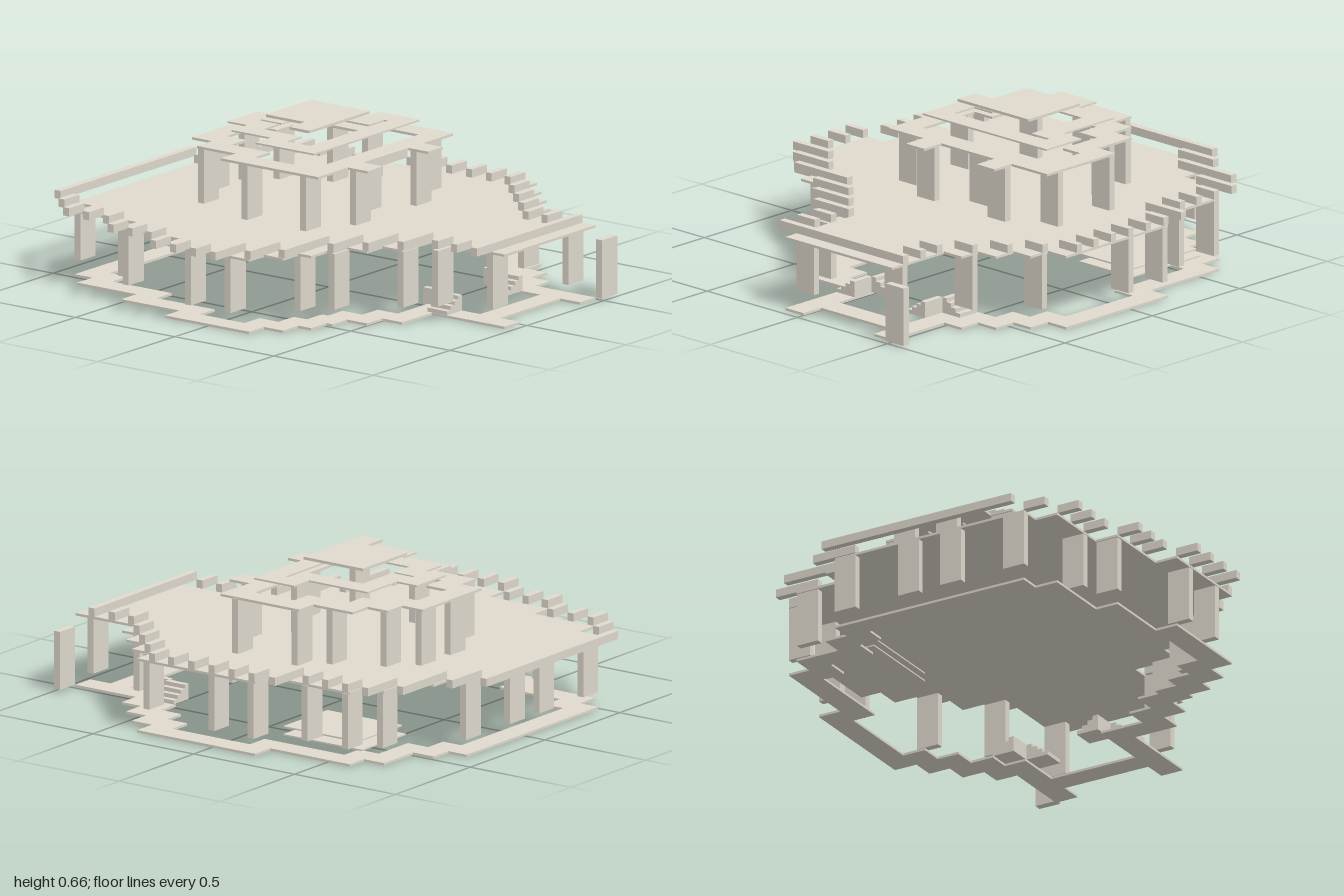
import * as THREE from 'three';

const C = 0.098; // grid cell
const T = 0.03;  // thickness of columns and beams
const mat = new THREE.MeshStandardMaterial({ color: 0xdfd9cd, flatShading: true });

// Outlines as [x, z] corners, running from the back left to the right
const floorLine = [
  [-0.49, -0.9], [0.39, -0.9], [0.39, -0.81], [0.49, -0.81], [0.49, -0.71], [0.685, -0.71],
  [0.685, -0.61], [0.78, -0.61], [0.78, -0.215], [0.88, -0.215], [0.88, 0.37], [0.78, 0.37],
  [0.78, 0.47], [0.685, 0.47], [0.685, 0.57], [0.585, 0.57], [0.585, 0.665], [0.49, 0.665],
  [0.49, 0.965], [-0.1, 0.965], [-0.1, 0.6], [-0.295, 0.6], [-0.295, 0.5], [-0.395, 0.5],
  [-0.395, 0.4], [-0.49, 0.4], [-0.49, 0.37], [-0.59, 0.37], [-0.59, 0.305], [-0.69, 0.305],
  [-0.69, 0.21], [-0.787, 0.21], [-0.787, -0.215], [-0.69, -0.215], [-0.69, -0.51],
  [-0.59, -0.51], [-0.59, -0.81], [-0.49, -0.81],
];
const tier1Line = [
  [-0.1, -0.61], [0.293, -0.61], [0.293, -0.51], [0.39, -0.51], [0.39, -0.41], [0.49, -0.41],
  [0.49, -0.215], [0.585, -0.215], [0.585, 0.175], [0.39, 0.175], [0.39, 0.275], [0.293, 0.275],
  [0.293, 0.175], [0, 0.175], [0, 0.275], [-0.1, 0.275], [-0.1, 0.175], [-0.295, 0.175],
  [-0.295, -0.315], [-0.198, -0.315], [-0.198, -0.51], [-0.1, -0.51],
];
const tier2Line = [
  [0, -0.51], [0.195, -0.51], [0.195, -0.41], [0.39, -0.41], [0.39, -0.12], [0.49, -0.12],
  [0.49, 0.08], [-0.198, 0.08], [-0.198, -0.215], [-0.1, -0.215], [-0.1, -0.41], [0, -0.41],
];
const tier3Line = [
  [0, -0.315], [0.293, -0.315], [0.293, -0.02], [-0.1, -0.02], [-0.1, -0.12], [0, -0.12],
];

// Ground ring: two prongs at the front, and a hole one cell in from the edge
const frontCorner = floorLine.findIndex(([, z]) => z > 0.9);
const groundLine = [
  ...floorLine.slice(0, frontCorner + 1),
  [0.39, 0.965], [0.39, 0.865], [0, 0.865], [0, 0.965],
  ...floorLine.slice(frontCorner + 1),
];
const groundHole = inset(floorLine.map(([x, z]) => [x, Math.min(z, 0.865)]), 0.1);
// The lowest roof's hole ignores the two tabs on its front edge
const tier1Hole = inset(tier1Line.filter(([x, z]) => z < 0.17 || x < -0.2 || x > 0.5), 0.098);

// Move every edge of a right-angled outline inwards
function inset(line, d) {
  const n = line.length;
  return line.map(([x, z], i) => {
    const [px, pz] = line[(i + n - 1) % n];
    const [nx, nz] = line[(i + 1) % n];
    return [
      x - d * (Math.sign(z - pz) + Math.sign(nz - z)),
      z + d * (Math.sign(x - px) + Math.sign(nx - x)),
    ];
  });
}

export function createModel() {
  const model = new THREE.Group();

  function add(name, geometry, parent = model) {
    const mesh = new THREE.Mesh(geometry, mat);
    mesh.name = name;
    parent.add(mesh);
    return mesh;
  }
  function group(name) {
    const g = new THREE.Group();
    g.name = name;
    model.add(g);
    return g;
  }
  function box(name, x0, x1, y0, y1, z0, z1, parent) {
    const geo = new THREE.BoxGeometry(x1 - x0, y1 - y0, z1 - z0);
    geo.translate((x0 + x1) / 2, (y0 + y1) / 2, (z0 + z1) / 2);
    return add(name, geo, parent);
  }
  // Flat slab from an outline, with an optional hole
  function slab(name, line, bottom, top, hole) {
    const points = (l) => l.map(([x, z]) => new THREE.Vector2(x, z));
    const shape = new THREE.Shape(points(line));
    if (hole) shape.holes.push(new THREE.Path(points(hole)));
    const geo = new THREE.ExtrudeGeometry(shape, { depth: top - bottom, bevelEnabled: false });
    geo.rotateX(Math.PI / 2).translate(0, top, 0);
    return add(name, geo);
  }
  // Columns listed as [z, cell, cell, ...]
  function columns(name, rows, bottom, top) {
    const g = group(name + 's');
    for (const [z, ...cells] of rows)
      for (const k of cells)
        box(name, k * C, (k + 1) * C, bottom, top, z - T / 2, z + T / 2, g);
  }

  // Floors and stepped roof
  slab('groundRing', groundLine, 0, 0.01, groundHole);
  slab('deck', floorLine, 0.297, 0.307);
  slab('lowerRoof', tier1Line, 0.53, 0.54, tier1Hole);
  slab('middleRoof', tier2Line, 0.594, 0.601, inset(tier2Line, 0.09));
  slab('topRoof', tier3Line, 0.649, 0.66);

  // Columns under the deck and under the roof
  columns('lowerColumn', [
    [0.89, -1, 4], [0.69, -2], [0.59, -3, 5], [0.395, -5, 7], [0.3, -6], [0.1, -8],
    [0, 8], [-0.1, -8], [-0.195, 8], [-0.39, 7], [-0.49, -7], [-0.59, -6, 7],
    [-0.69, 6], [-0.885, -5, -2, 0, 3],
  ], 0.071, 0.3);
  columns('upperColumn', [
    [0.2, -1, 3], [0.1, -3, 1, 5], [-0.195, -3, 5], [-0.295, 4], [-0.49, -2, 3], [-0.59, 0, 2],
  ], 0.305, 0.533);

  // Edge beams: z, start cell, end cell
  const beams = group('edgeBeams');
  const beamRows = [
    [-0.985, -5, 4], [-0.89, -6, -5], [-0.89, 3, 5], [-0.79, -7, -6], [-0.79, 4, 7],
    [-0.69, -7, -6], [-0.69, 6, 8], [-0.59, -7, -6], [-0.59, 7, 8], [-0.49, -8, -7], [-0.49, 7, 8],
    [-0.395, -8, -7], [-0.395, 7, 8], [-0.3, -8, -7], [-0.3, 7, 9], [-0.2, -9, -8], [-0.2, 8, 9],
    [-0.1, -9, -8], [-0.1, 8, 9], [0, -9, -8], [0, 8, 9], [0.1, -9, -7], [0.1, 8, 9],
    [0.2, -8, -6], [0.2, 8, 9], [0.295, -7, -4], [0.295, 8, 9], [0.39, -5, -3], [0.39, 7, 8],
    [0.49, -4, -2], [0.49, 6, 7], [0.59, -3, -1], [0.59, 5, 6], [0.69, -2, -1], [0.69, 4, 5],
    [0.785, -2, -1], [0.785, 4, 5], [0.885, -2, 5],
  ];
  for (const [z, a, b] of beamRows)
    box('edgeBeam', a * C, b * C, 0.307, 0.341, z - T / 2, z + T / 2, beams);

  // Free-standing panel at the front
  box('frontPanel', 5 * C, 6 * C, 0.01, 0.25, 0.968, 1, model);

  // Low floating plates inside
  box('lowPlate', 0.39, 0.685, 0.041, 0.047, -0.6, -0.21, model);
  box('raisedPlate', 0.39, 0.685, 0.074, 0.08, -0.58, -0.21, model);

  // Solid stairs, in pairs falling to either side
  const steps = 4, rise = 0.065 / steps, run = C / steps;
  const profile = new THREE.Shape();
  profile.moveTo(0, 0.01);
  for (let i = 0; i < steps; i++) {
    profile.lineTo(i * run, 0.01 + (i + 1) * rise);
    profile.lineTo((i + 1) * run, 0.01 + (i + 1) * rise);
  }
  profile.lineTo(C, 0.01);
  const stairGeo = new THREE.ExtrudeGeometry(profile, { depth: C, bevelEnabled: false });
  const stairs = group('stairs');
  for (const x of [0, 4 * C]) {
    const left = add('stairRisingLeft', stairGeo, stairs);
    left.position.set(x - C, 0, 0.575);
    const right = add('stairRisingRight', stairGeo, stairs);
    right.position.set(x + C, 0, 0.575);
    right.rotation.y = Math.PI;
  }
  return model;
}
